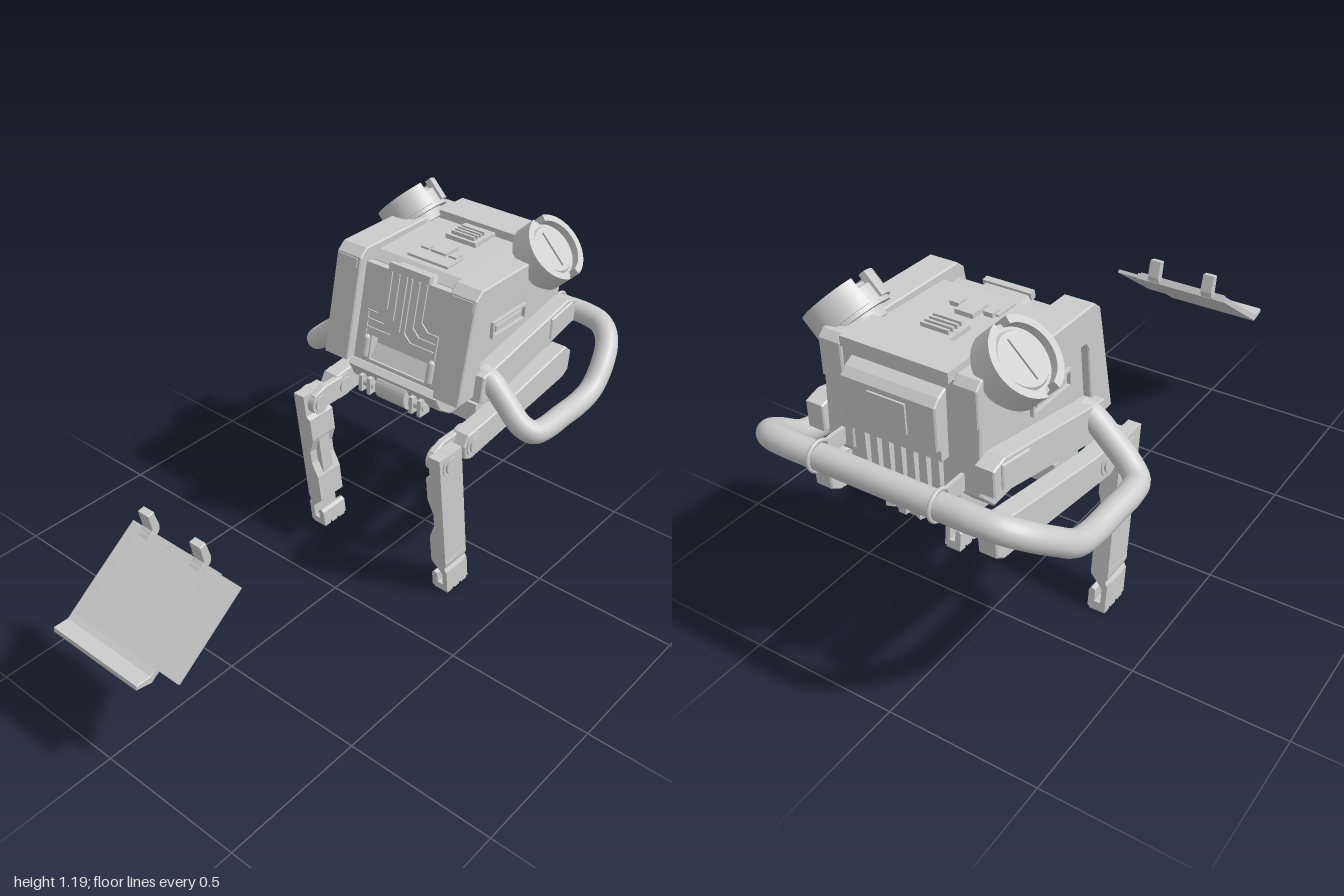
import * as THREE from 'three';

const mat = new THREE.MeshStandardMaterial({ color: 0xcccccc, flatShading: true });
const smooth = new THREE.MeshStandardMaterial({ color: 0xcccccc });

function add(parent, name, geo, m = mat) {
  const mesh = new THREE.Mesh(geo, m);
  mesh.name = name;
  parent.add(mesh);
  return mesh;
}
function box(parent, name, w, h, d, x, y, z) {
  const mesh = add(parent, name, new THREE.BoxGeometry(w, h, d));
  mesh.position.set(x, y, z);
  return mesh;
}
const outline = (pts) => new THREE.Shape(pts.map((p) => new THREE.Vector2(p[0], p[1])));

// Profile of [z, y] points swept along x from xa to xb, with a small bevel
function prism(parent, name, pts, xa, xb, b = 0.004) {
  const x0 = Math.min(xa, xb), x1 = Math.max(xa, xb);
  const geo = new THREE.ExtrudeGeometry(outline(pts), {
    depth: x1 - x0 - 2 * b, bevelEnabled: true, bevelSize: b, bevelThickness: b, bevelOffset: -b, bevelSegments: 1,
  });
  geo.rotateY(-Math.PI / 2).translate(x1 - b, 0, 0);
  return add(parent, name, geo);
}
// Disc whose axis runs along x
function disc(parent, name, r, len, x, y, z) {
  const geo = new THREE.CylinderGeometry(r, r, len, 32).rotateZ(Math.PI / 2);
  const mesh = add(parent, name, geo);
  mesh.position.set(x, y, z);
  return mesh;
}
// Thin raised strip along a flat polyline
function strip(parent, name, pts, w) {
  for (let i = 1; i < pts.length; i++) {
    const [ax, ay] = pts[i - 1], [bx, by] = pts[i];
    const m = box(parent, name, w, Math.hypot(bx - ax, by - ay) + w * 0.6, 0.008, (ax + bx) / 2, (ay + by) / 2, 0.002);
    m.rotation.z = Math.atan2(by - ay, bx - ax) - Math.PI / 2;
  }
}

function body(root) {
  const g = new THREE.Group();
  g.name = 'body';
  root.add(g);
  prism(g, 'core', [[-0.33, 0.72], [-0.39, 1.04], [-0.42, 1.065], [-0.84, 1.075], [-0.85, 0.7], [-0.34, 0.68]], -0.18, 0.18);
  // Front panel with mouth opening, leaning back
  const face = new THREE.Group();
  face.name = 'facePanel';
  face.position.set(0, 0.72, -0.295);
  face.rotation.x = -0.184;
  g.add(face);
  const plate = outline([[-0.176, 0], [0.176, 0], [0.176, 0.33], [0.08, 0.33], [0.07, 0.35], [-0.07, 0.35], [-0.08, 0.33], [-0.176, 0.33]]);
  plate.holes.push(outline([[-0.115, 0.012], [0.115, 0.012], [0.115, 0.095], [-0.115, 0.095]]));
  add(face, 'frontPlate', new THREE.ExtrudeGeometry(plate, { depth: 0.06, bevelEnabled: false }).translate(0, 0, -0.06));
  const ramp = box(face, 'mouthRamp', 0.23, 0.09, 0.012, 0, 0.05, -0.035);
  ramp.rotation.x = -0.45;
  box(face, 'browBar', 0.16, 0.025, 0.02, 0, 0.345, 0.0);
  for (const s of [-1, 1]) {
    [0.01, 0.04, 0.07].forEach((x, i) => {
      const y = 0.145 + i * 0.028;
      strip(face, 'faceRib', [[s * x, 0.325], [s * x, y], [s * (x + 0.03), y - 0.025], [s * 0.14, y - 0.025]], 0.006);
    });
    strip(face, 'cheekEdge', [[s * 0.14, 0.175], [s * 0.14, 0.1]], 0.006);
    const slot = add(face, 'mouthSlot', new THREE.CapsuleGeometry(0.013, 0.06, 4, 12), smooth);
    slot.position.set(s * 0.132, 0.052, 0);
  }
  // Roof blocks
  box(g, 'roofPlate', 0.34, 0.03, 0.13, 0, 1.085, -0.79);
  box(g, 'roofRidge', 0.12, 0.02, 0.15, 0, 1.075, -0.69);
  box(g, 'roofHatch', 0.16, 0.012, 0.08, 0, 1.068, -0.48);
  box(g, 'roofLatch', 0.06, 0.025, 0.07, 0, 1.07, -0.53);
  for (const x of [-0.055, 0.055]) box(g, 'roofTab', 0.03, 0.022, 0.035, x, 1.07, -0.515);
  for (let i = 0; i < 4; i++) box(g, 'roofFin', 0.09, 0.015, 0.008, 0, 1.09, -0.63 - i * 0.018);
  // Back plates and slats
  prism(g, 'backPlate', [[-0.83, 0.86], [-0.83, 1.05], [-0.87, 1.03], [-0.89, 1.01], [-0.89, 0.88]], -0.15, 0.15);
  box(g, 'backHatch', 0.12, 0.09, 0.016, 0, 0.95, -0.888);
  box(g, 'backBand', 0.3, 0.03, 0.04, 0, 0.86, -0.855);
  for (let i = -3; i <= 3; i++) box(g, 'backSlat', 0.022, 0.15, 0.02, i * 0.04, 0.77, -0.855);
  // Chin and belly
  prism(g, 'chin', [[-0.29, 0.72], [-0.27, 0.705], [-0.3, 0.65], [-0.36, 0.61], [-0.45, 0.61], [-0.45, 0.72]], -0.18, 0.18);
  prism(g, 'belly', [[-0.4, 0.72], [-0.4, 0.61], [-0.5, 0.59], [-0.78, 0.61], [-0.85, 0.65], [-0.85, 0.72]], -0.16, 0.16);
  box(g, 'bellyHatch', 0.18, 0.02, 0.18, 0, 0.592, -0.59);
  disc(g, 'chinRoller', 0.055, 0.12, 0, 0.655, -0.32);
  for (const x of [-0.105, 0.105]) {
    for (const d of [-0.017, 0.017]) box(g, 'hingeLug', 0.014, 0.06, 0.05, x + d, 0.65, -0.29);
    disc(g, 'hingePin', 0.014, 0.06, x, 0.65, -0.285);
  }
  // Rounded rear vent
  const vent = add(g, 'rearVent', new THREE.CylinderGeometry(0.15, 0.13, 0.07, 24, 1, false, Math.PI / 2, Math.PI));
  vent.position.set(0, 0.645, -0.76);
  vent.scale.z = 0.7;
  for (let i = -3; i <= 3; i++) {
    const a = i * 0.36;
    const rib = box(g, 'ventRib', 0.025, 0.05, 0.02, 0.14 * Math.sin(a), 0.645, -0.76 - 0.1 * Math.cos(a));
    rib.rotation.y = a;
  }
}

// Drum tilted up and outward, with a split collar
function eye(parent, s) {
  const g = new THREE.Group();
  g.name = 'eye';
  g.position.set(s * 0.236, 1.052, -0.71);
  g.rotation.z = -s * Math.PI / 4;
  parent.add(g);
  const drum = [[0, -0.03], [0.075, -0.03], [0.08, 0], [0.103, 0], [0.103, 0.06], [0.09, 0.066], [0.082, 0.066], [0.076, 0.076], [0, 0.076]];
  add(g, 'drum', new THREE.LatheGeometry(drum.map((p) => new THREE.Vector2(...p)), 48));
  for (const a of [0, Math.PI]) {
    const arc = new THREE.Shape();
    arc.absarc(0, 0, 0.112, a + 0.22, a + Math.PI - 0.22, false);
    arc.absarc(0, 0, 0.09, a + Math.PI - 0.22, a + 0.22, true);
    const geo = new THREE.ExtrudeGeometry(arc, { depth: 0.078, bevelEnabled: false, curveSegments: 24 });
    add(g, 'collar', geo.rotateX(-Math.PI / 2).translate(0, 0.013, 0));
  }
  box(g, 'lensBar', 0.12, 0.01, 0.014, 0, 0.077, 0);
}

function side(root, s) {
  const g = new THREE.Group();
  g.name = s > 0 ? 'leftSide' : 'rightSide';
  root.add(g);
  // Shoulder pod: front column, top beam, narrower tail and recessed flank
  prism(g, 'pod', [[-0.26, 0.72], [-0.325, 1.065], [-0.355, 1.09], [-0.64, 1.09], [-0.64, 0.985],
    [-0.4, 0.985], [-0.385, 0.96], [-0.365, 0.72]], s * 0.176, s * 0.275);
  prism(g, 'podTail', [[-0.6, 1.09], [-0.83, 1.09], [-0.85, 1.07], [-0.85, 0.96], [-0.6, 0.97]], s * 0.176, s * 0.25);
  prism(g, 'flank', [[-0.36, 0.73], [-0.37, 1.0], [-0.84, 1.0], [-0.855, 0.76], [-0.8, 0.7]], s * 0.16, s * 0.25);
  const cap = box(g, 'podCap', 0.08, 0.03, 0.012, s * 0.228, 1.045, -0.323);
  cap.rotation.x = -0.184;
  // Flank slot frame
  for (const y of [0.883, 0.932]) box(g, 'slotRail', 0.02, 0.009, 0.18, s * 0.252, y, -0.54);
  for (const z of [-0.452, -0.628]) box(g, 'slotEnd', 0.02, 0.05, 0.009, s * 0.252, 0.907, z);
  box(g, 'slotBar', 0.012, 0.02, 0.14, s * 0.252, 0.907, -0.54);
  eye(g, s);
  // Upper arm beside the flank
  prism(g, 'upperArm', [[-0.34, 0.71], [-0.35, 0.8], [-0.42, 0.81], [-0.82, 0.885], [-0.87, 0.87], [-0.87, 0.79], [-0.8, 0.775], [-0.42, 0.69]], s * 0.245, s * 0.305);
  prism(g, 'armBracket', [[-0.72, 0.78], [-0.72, 0.855], [-0.84, 0.875], [-0.84, 0.8]], s * 0.29, s * 0.311);
  // Thigh and hip link
  prism(g, 'thigh', [[-0.27, 0.58], [-0.29, 0.615], [-0.4, 0.625], [-0.84, 0.7], [-0.875, 0.67], [-0.87, 0.6], [-0.84, 0.58], [-0.31, 0.515], [-0.28, 0.53]], s * 0.245, s * 0.305);
  box(g, 'hipLink', 0.1, 0.07, 0.12, s * 0.2, 0.62, -0.46);
  // Knee with stepped pivot caps
  prism(g, 'kneeLink', [[-0.19, 0.525], [-0.17, 0.59], [-0.22, 0.61], [-0.34, 0.61], [-0.36, 0.57], [-0.33, 0.525]], s * 0.237, s * 0.262);
  for (const [y, z] of [[0.57, -0.325], [0.555, -0.2]]) {
    disc(g, 'pivotDisc', 0.042, 0.072, s * 0.273, y, z);
    disc(g, 'pivotCap', 0.03, 0.084, s * 0.273, y, z);
  }
  // Shin: front outline with foot claw, swept in depth and leaned back toward the foot
  const pts = [[0.306, 0.595], [0.262, 0.595], [0.262, 0.51], [0.247, 0.5], [0.247, 0.41], [0.268, 0.35], [0.268, 0.3], [0.247, 0.24], [0.247, 0.13],
    [0.262, 0.115], [0.278, 0.1], [0.29, 0.085], [0.29, 0.035], [0.268, 0.035], [0.268, 0.075], [0.255, 0.08], [0.246, 0.07], [0.246, 0.012], [0.308, 0.012], [0.308, 0.1], [0.3, 0.115], [0.306, 0.13]];
  const geo = new THREE.ExtrudeGeometry(outline(pts.map(([x, y]) => [s * x, y])), { depth: 0.115, bevelEnabled: false });
  const p = geo.attributes.position;
  for (let i = 0; i < p.count; i++) p.setZ(i, p.getZ(i) - 0.342 + p.getY(i) * 0.15);
  add(g, 'shin', geo);
  for (let i = -1; i <= 1; i++) box(g, 'toe', 0.056, 0.02, 0.028, s * 0.277, 0.01, -0.284 + i * 0.038);
  for (const y of [0.095, 0.15]) {
    const band = box(g, 'shinBand', 0.006, 0.006, 0.11, s * 0.305, y, -0.284 + y * 0.15);
    band.rotation.x = 0.149;
  }
  const calf = box(g, 'shinInsert', 0.03, 0.16, 0.05, s * 0.264, 0.33, -0.235);
  calf.rotation.x = 0.149;
  // Handle clamp
  const ring = add(g, 'handleClamp', new THREE.TorusGeometry(0.043, 0.006, 8, 32).rotateY(Math.PI / 2), smooth);
  ring.position.set(s * 0.195, 0.78, -0.95);
  box(g, 'clampStay', 0.012, 0.05, 0.09, s * 0.195, 0.79, -0.875);
}

// Handle: dips diagonally at the front, runs back low, then rises round to the crossbar
function handle(root) {
  const half = [[0.26, 0.78, -0.4], [0.3, 0.765, -0.4], [0.36, 0.71, -0.4], [0.42, 0.652, -0.403], [0.455, 0.627, -0.425], [0.466, 0.622, -0.48], [0.466, 0.622, -0.57],
    [0.466, 0.622, -0.67], [0.465, 0.64, -0.75], [0.452, 0.695, -0.83], [0.42, 0.745, -0.9], [0.37, 0.772, -0.94], [0.3, 0.78, -0.953], [0.2, 0.78, -0.953]];
  const left = half.map((q) => new THREE.Vector3(...q));
  const right = left.map((v) => new THREE.Vector3(-v.x, v.y, v.z)).reverse();
  const curve = new THREE.CatmullRomCurve3([...left, ...right], false, 'centripetal');
  add(root, 'handleBar', new THREE.TubeGeometry(curve, 200, 0.038, 20), smooth);
}

// Detached hinged tray lying ahead of the body
function tray(root) {
  const g = new THREE.Group();
  g.name = 'tray';
  g.position.set(0, 0.506, 0.808);
  g.rotation.x = 0.63;
  root.add(g);
  box(g, 'trayPlate', 0.35, 0.02, 0.32, 0, 0, 0);
  box(g, 'sidePlate', 0.085, 0.012, 0.305, 0.213, -0.002, -0.004);
  box(g, 'sideStep', 0.06, 0.008, 0.05, 0.205, 0.006, 0.1);
  for (const x of [-0.15, 0.15]) box(g, 'trayRib', 0.008, 0.008, 0.25, x, 0.011, -0.03);
  box(g, 'traySlot', 0.26, 0.012, 0.02, 0, 0.01, 0.125);
  box(g, 'trayBack', 0.33, 0.022, 0.018, 0, 0.004, -0.15);
  prism(g, 'trayLip', [[0.15, -0.01], [0.15, 0.01], [0.172, 0.012], [0.212, 0.042], [0.222, 0.03], [0.185, -0.012]], -0.175, 0.175, 0.002);
  for (const x of [-0.108, 0.102]) {
    prism(g, 'trayHook', [[-0.13, -0.008], [-0.13, 0.012], [-0.16, 0.018], [-0.185, 0.072], [-0.206, 0.062], [-0.186, 0.005], [-0.172, -0.008]], x - 0.022, x + 0.022, 0.002);
  }
}

export function createModel() {
  const root = new THREE.Group();
  root.name = 'walker';
  body(root);
  for (const s of [-1, 1]) side(root, s);
  handle(root);
  tray(root);
  return root;
}
